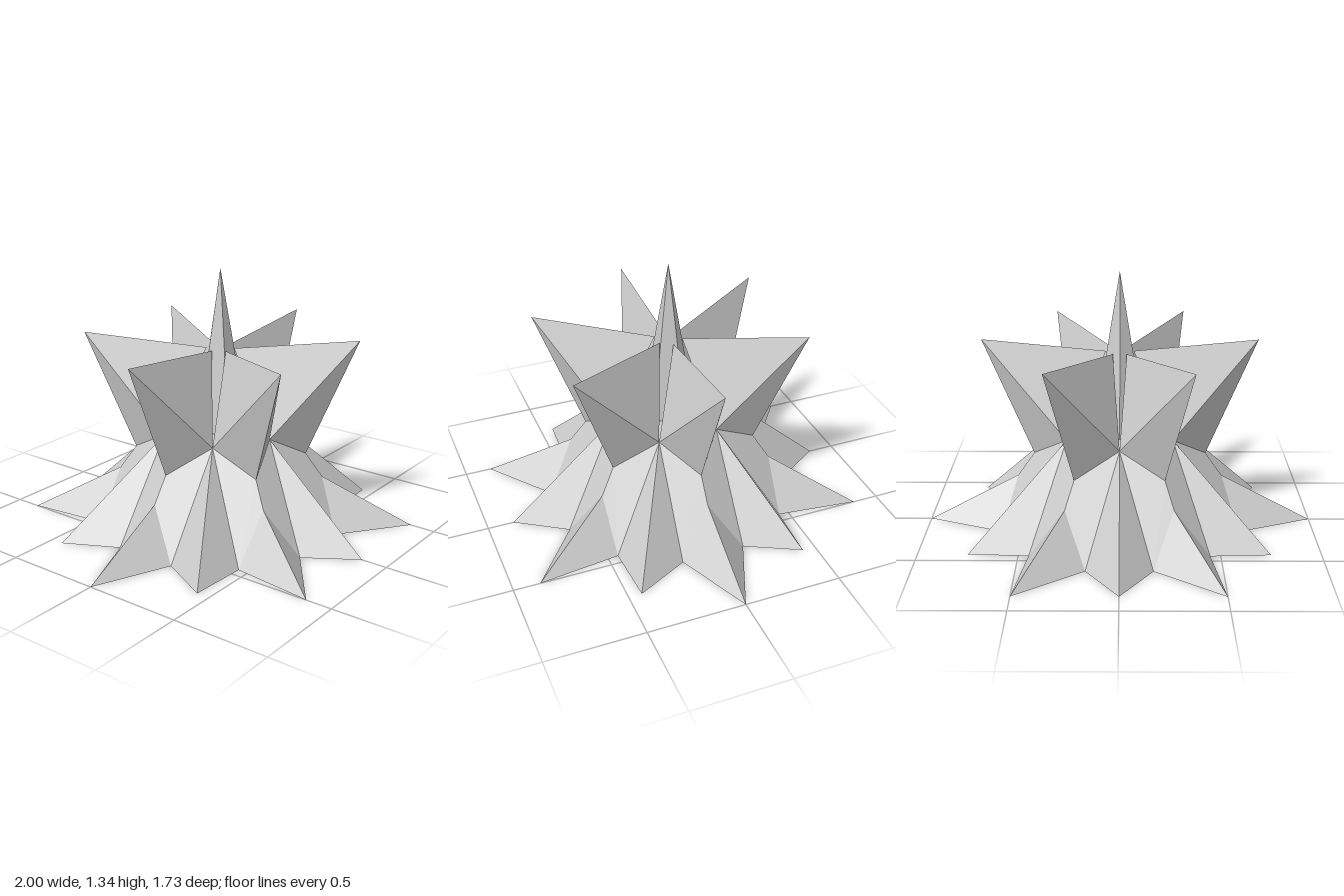
import * as THREE from 'three';
import { ConvexGeometry } from 'three/addons/geometries/ConvexGeometry.js';

// Point from radius, angle in degrees around y, and height
function polar(r, deg, y) {
  const a = THREE.MathUtils.degToRad(deg);
  return new THREE.Vector3(r * Math.cos(a), y, r * Math.sin(a));
}

export function createModel() {
  const model = new THREE.Group();
  model.name = 'starCrown';
  const material = new THREE.MeshStandardMaterial({ color: 0xcccccc, flatShading: true });

  function add(name, geometry) {
    const mesh = new THREE.Mesh(geometry, material);
    mesh.name = name;
    model.add(mesh);
    return mesh;
  }

  // Corner rings shared by the parts
  const foot = (deg) => polar(0.634, deg, 0);       // notches between the ground points
  const knee = (deg) => polar(0.532, deg, 0.25);    // top of each long ground point
  const collar = (deg) => polar(0.445, deg, 0.375); // underside of each petal
  const neck = (deg) => polar(0.31, deg, 0.5);      // notches between the petals

  const bodyPoints = [];
  for (let i = 0; i < 6; i++) {
    const a = i * 60;
    bodyPoints.push(foot(a - 15), foot(a + 15), knee(a), collar(a), neck(a + 30));

    // Long ground point
    add('longGroundPoint', new ConvexGeometry([polar(1, a, 0), knee(a), foot(a - 15), foot(a + 15)]));

    // Short ground point with a ridge running up to the neck
    add('shortGroundPoint', new ConvexGeometry([
      polar(0.866, a + 30, 0), neck(a + 30), foot(a + 15), foot(a + 45),
    ]));

    // Raised petal leaning outwards
    add('petal', new ConvexGeometry([
      polar(0.7, a, 0.985), polar(0.07, a, 0.925), collar(a), neck(a - 30), neck(a + 30),
    ]));
  }

  // Faceted core that carries all points
  add('body', new ConvexGeometry(bodyPoints));

  // Five-sided centre spike, one edge to the back
  const spike = add('centreSpike', new THREE.ConeGeometry(0.16, 0.935, 5));
  spike.position.y = 0.4 + 0.935 / 2;
  spike.rotation.y = Math.PI;

  return model;
}
